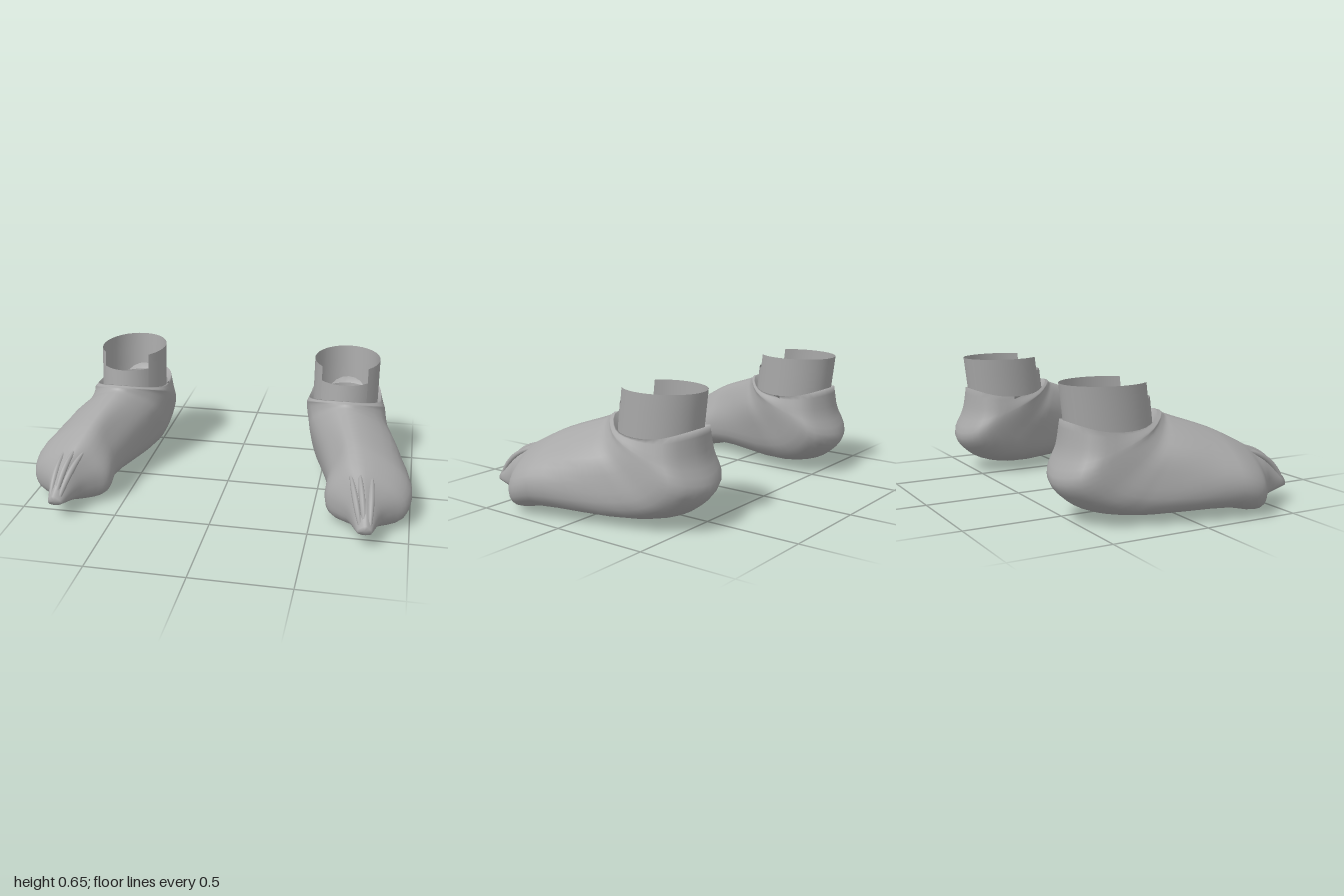
import * as THREE from 'three';

const grey = new THREE.MeshStandardMaterial({ color: 0xa8a8a8, side: THREE.DoubleSide });
grey.name = 'plain grey';

const SEGMENTS = 32;
const ROWS = 36;
const mix = THREE.MathUtils.lerp;
const spline = (points) => new THREE.CatmullRomCurve3(points.map((p) => new THREE.Vector3(...p)));

// Guide lines from ankle rim to toe: the crest line carries the outer width
// as x, the heel and sole line carries the inner width as x
const crestLine = spline([
  [0.8, 0.508, -0.055], [0.82, 0.502, -0.04], [0.83, 0.5, -0.03], [0.845, 0.49, -0.02], [0.88, 0.48, 0],
  [0.995, 0.405, 0.21], [0.985, 0.34, 0.34], [0.92, 0.3, 0.41], [0.86, 0.255, 0.49], [0.82, 0.135, 0.6],
]);
const soleLine = spline([
  [0.415, 0.485, -0.53], [0.4, 0.34, -0.55], [0.4, 0.2, -0.6], [0.415, 0.09, -0.5], [0.44, 0.03, -0.3],
  [0.565, 0.03, 0.21], [0.57, 0.004, 0.34], [0.63, 0.02, 0.4], [0.69, 0.045, 0.46], [0.75, 0.085, 0.595],
]);

// One closed ring, tilted between the crest and the sole
function sectionRing(t) {
  const top = crestLine.getPoint(t), bottom = soleLine.getPoint(t);
  const outer = top.x, inner = bottom.x, sole = (inner + outer) / 2;
  const crest = 0.63 + 0.27 * top.z;
  const full = 0.87 - 0.2 * THREE.MathUtils.smoothstep(top.z, -0.03, 0.2);
  const sag = 0.2 * Math.max(0, 1 - t * 6);
  const outline = new THREE.CatmullRomCurve3([
    [crest, 1], [mix(crest, outer, full), 0.75], [outer, 0.42], [mix(sole, outer, 0.78), 0.1],
    [sole, 0], [mix(sole, inner, 0.78), 0.1], [inner, 0.42], [mix(crest, inner, full), 0.75],
  ].map(([x, v]) => new THREE.Vector3(x, v, 0)), true);
  return Array.from({ length: SEGMENTS }, (_, j) => {
    const { x, y: v } = outline.getPoint(j / SEGMENTS);
    return [x, mix(bottom.y, top.y, v) - sag * v * (1 - v), mix(bottom.z, top.z, v)];
  });
}

function footGeometry() {
  const rings = Array.from({ length: ROWS + 1 }, (_, i) => sectionRing(i / ROWS));
  // Rolled lip inside the ankle opening
  const lip = rings[0].map(([x, y, z]) => [mix(x, 0.607, 0.1), y - 0.04, mix(z, -0.3, 0.1)]);
  rings.unshift(lip);
  const positions = rings.flat(2);
  const index = [];
  const last = rings.length - 1;
  for (let i = 0; i < last; i++) {
    for (let j = 0; j < SEGMENTS; j++) {
      const a = i * SEGMENTS + j, b = i * SEGMENTS + (j + 1) % SEGMENTS;
      index.push(a, a + SEGMENTS, b, b, a + SEGMENTS, b + SEGMENTS);
    }
  }
  // Toe cap
  const tip = positions.length / 3;
  positions.push(0.785, 0.11, 0.602);
  for (let j = 0; j < SEGMENTS; j++) {
    index.push(last * SEGMENTS + j, tip, last * SEGMENTS + (j + 1) % SEGMENTS);
  }
  const geometry = new THREE.BufferGeometry();
  geometry.setAttribute('position', new THREE.Float32BufferAttribute(positions, 3));
  geometry.setIndex(index);
  geometry.computeVertexNormals();
  return geometry;
}

// Arc of the thin open ankle cuff, leaning slightly backwards
function cuffGeometry(start, length, top) {
  const bottom = 0.4;
  const geometry = new THREE.CylinderGeometry(1, 1, top - bottom, 24, 3, true, start, length);
  geometry.scale(0.178, 1, 0.218);
  geometry.translate(0.607, (top + bottom) / 2, -0.31);
  const p = geometry.attributes.position;
  for (let i = 0; i < p.count; i++) p.setZ(i, p.getZ(i) - (p.getY(i) - 0.5) * 0.12);
  geometry.computeVertexNormals();
  return geometry;
}

// Tapered fold of material running down over the toe
function foldGeometry(startX, endX, drop) {
  const curve = new THREE.QuadraticBezierCurve3(
    new THREE.Vector3(startX, 0.31 - drop, 0.36),
    new THREE.Vector3((startX + endX) / 2, 0.27 - drop, 0.52),
    new THREE.Vector3(endX, 0.11, 0.587),
  );
  const rows = 16, sides = 8;
  const geometry = new THREE.TubeGeometry(curve, rows, 0.016, sides);
  const p = geometry.attributes.position, v = new THREE.Vector3();
  for (let i = 0; i < p.count; i++) {
    const t = Math.floor(i / (sides + 1)) / rows;
    const c = curve.getPointAt(t);
    v.fromBufferAttribute(p, i).sub(c).multiplyScalar(Math.sin(Math.PI * (0.02 + 0.9 * t)) ** 0.7).add(c);
    p.setXYZ(i, v.x, v.y, v.z);
  }
  return geometry;
}

// Mirror a geometry to the other foot, keeping faces outward
function mirrored(source) {
  const geometry = source.clone().scale(-1, 1, 1);
  const idx = geometry.index;
  for (let i = 0; i < idx.count; i += 3) {
    const b = idx.getX(i + 1);
    idx.setX(i + 1, idx.getX(i + 2));
    idx.setX(i + 2, b);
  }
  return geometry;
}

export function createModel() {
  const model = new THREE.Group();
  model.name = 'pairOfAnkleShoes';
  const step = 0.76;
  const parts = {
    shoe: footGeometry(),
    cuffBack: cuffGeometry(step, Math.PI * 2 - step * 2, 0.655),
    cuffFront: cuffGeometry(-step, step * 2, 0.578),
    innerToeFold: foldGeometry(0.69, 0.765, 0.015),
    middleToeFold: foldGeometry(0.735, 0.785, 0),
    outerToeFold: foldGeometry(0.8, 0.81, 0.02),
  };
  for (const side of ['left', 'right']) {
    const foot = new THREE.Group();
    foot.name = side + 'Shoe';
    for (const [name, geometry] of Object.entries(parts)) {
      const mesh = new THREE.Mesh(side === 'left' ? geometry : mirrored(geometry), grey);
      mesh.name = name;
      foot.add(mesh);
    }
    model.add(foot);
  }
  return model;
}
